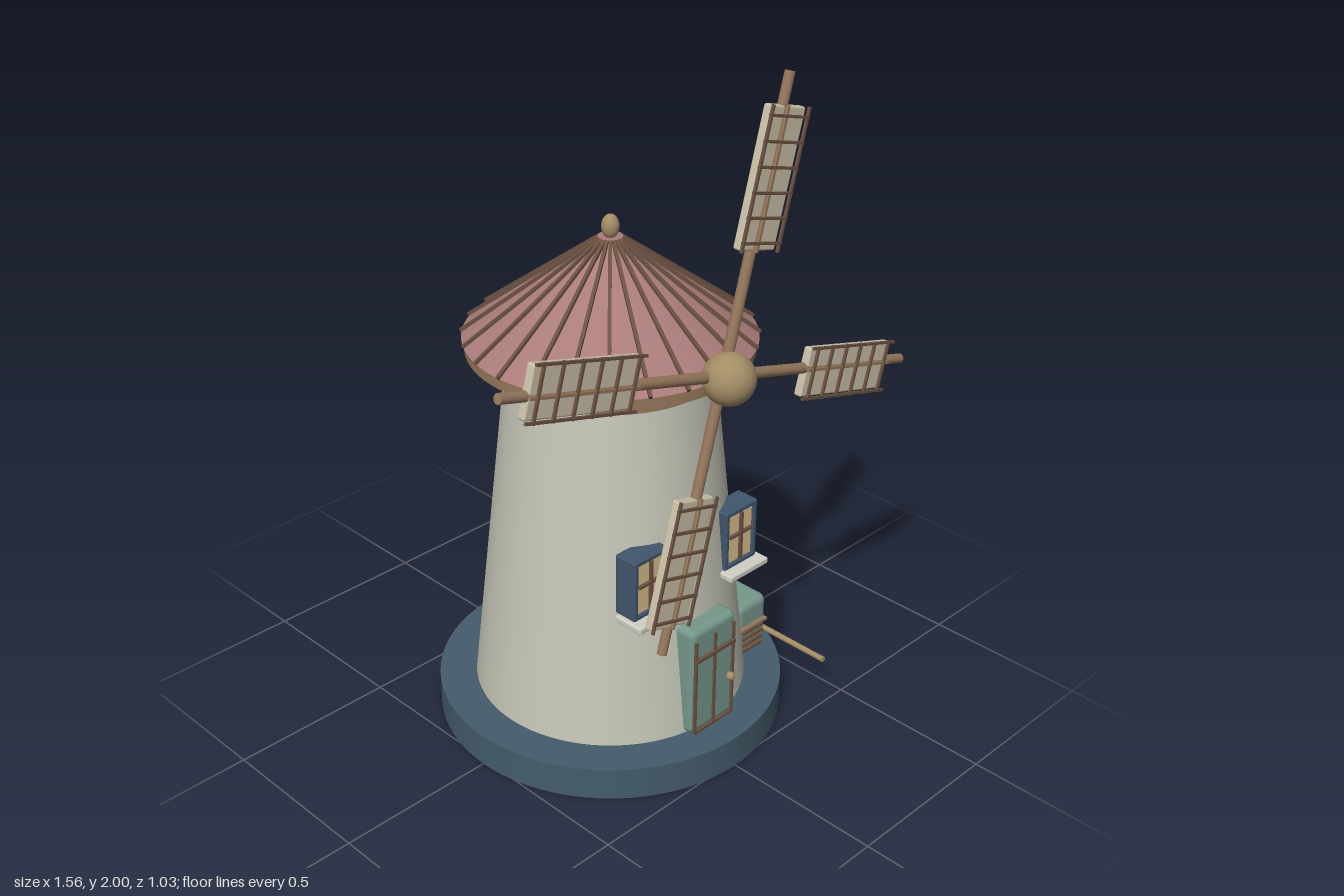
import * as THREE from 'three';
import { RoundedBoxGeometry } from 'three/addons/geometries/RoundedBoxGeometry.js';

const mat = (color) => new THREE.MeshStandardMaterial({ color });
const slate = mat(0x455c6c), plaster = mat(0xc6c7b8), tile = mat(0xaa7c7a), wood = mat(0x96775c);
const darkWood = mat(0x6b5142), brass = mat(0xa38d66), teal = mat(0x76988b), cloth = mat(0xcbc1a8);
const blue = mat(0x40566d), pane = mat(0xdcc08c), stone = mat(0xd0d0c6);

function add(parent, name, geometry, material, x = 0, y = 0, z = 0) {
  const mesh = new THREE.Mesh(geometry, material);
  mesh.name = name;
  mesh.position.set(x, y, z);
  parent.add(mesh);
  return mesh;
}
function group(parent, name, x = 0, y = 0, z = 0) {
  const g = new THREE.Group();
  g.name = name;
  g.position.set(x, y, z);
  parent.add(g);
  return g;
}
const box = (w, h, d) => new THREE.BoxGeometry(w, h, d);
const round = (w, h, d, r) => new RoundedBoxGeometry(w, h, d, 3, r);
const drum = (top, bottom, h, n = 64) => new THREE.CylinderGeometry(top, bottom, h, n);
const ball = (r) => new THREE.SphereGeometry(r, 32, 20);

// Rod between two points
function rod(parent, name, a, b, r, material) {
  const from = new THREE.Vector3(...a), to = new THREE.Vector3(...b);
  const dir = to.clone().sub(from);
  const m = add(parent, name, drum(r, r, dir.length(), 12), material);
  m.position.copy(from).add(to).multiplyScalar(0.5);
  m.quaternion.setFromUnitVectors(new THREE.Vector3(0, 1, 0), dir.normalize());
  return m;
}

function buildRoof(parent) {
  const roof = group(parent, 'roof');
  add(roof, 'eave', drum(0.405, 0.405, 0.036), wood, 0, 1.193);
  add(roof, 'roofCone', drum(0.03, 0.412, 0.28), tile, 0, 1.351);
  // Radial battens lying on the cone
  const run = 0.382, rise = 0.28;
  for (let i = 0; i < 24; i++) {
    const spoke = group(roof, 'batten');
    spoke.rotation.y = (i / 24) * Math.PI * 2;
    const b = add(spoke, 'battenStrip', box(0.01, 0.012, Math.hypot(run, rise)), darkWood, 0, 1.353, 0.223);
    b.rotation.x = Math.atan2(rise, run);
  }
  add(roof, 'roofCollar', drum(0.035, 0.045, 0.02, 32), tile, 0, 1.487);
  add(roof, 'finial', ball(0.025), brass, 0, 1.525).scale.y = 1.4;
}

// One arm pointing up, with its sail and lattice
function buildSail(parent, angle) {
  const sail = group(parent, 'sailArm');
  sail.rotation.z = angle;
  add(sail, 'spar', drum(0.014, 0.016, 0.805, 16), wood, 0, 0.4025);
  const u0 = 0.34, u1 = 0.722, mid = (u0 + u1) / 2, v = 0.011;
  add(sail, 'sailCloth', round(0.142, u1 - u0 - 0.005, 0.026, 0.006), cloth, v, mid, 0);
  for (const s of [-1, 1])
    add(sail, 'latticeRail', box(0.007, u1 - u0, 0.008), darkWood, v + s * 0.073, mid, 0.021);
  add(sail, 'latticeCentre', box(0.008, u1 - u0, 0.008), wood, 0, mid, 0.019);
  for (let i = 0; i < 6; i++)
    add(sail, 'latticeBar', box(0.156, 0.007, 0.008), darkWood, v, u0 + 0.025 + i * 0.066, 0.021);
}

function buildWindow(parent, side) {
  const win = group(parent, side > 0 ? 'leftWindow' : 'rightWindow', side * 0.183, 0.625, 0.31);
  const w = 0.132, h = 0.19, t = 0.017;
  add(win, 'windowBack', box(w - 0.01, h - 0.01, 0.05), blue, 0, 0, -0.005);
  for (const s of [-1, 1]) {
    add(win, 'frameSide', round(t, h, 0.075, 0.006), blue, s * (w - t) / 2, 0, 0);
    add(win, 'frameRail', round(w, t, 0.075, 0.006), blue, 0, s * (h - t) / 2, 0);
  }
  add(win, 'glass', box(w - 2 * t, h - 2 * t, 0.012), pane, 0, 0, 0.024);
  add(win, 'mullion', box(0.008, h - 2 * t, 0.012), darkWood, 0, 0, 0.034);
  add(win, 'transom', box(w - 2 * t, 0.008, 0.012), darkWood, 0, 0.01, 0.034);
  add(win, 'sill', round(0.16, 0.02, 0.1, 0.005), stone, 0, -0.102, 0.024);
}

function buildDoor(parent) {
  const door = group(parent, 'door', 0, 0.1, 0);
  add(door, 'doorSlab', round(0.182, 0.35, 0.09, 0.02), teal, 0, 0.175, 0.375);
  for (const x of [-0.077, 0, 0.077])
    add(door, 'doorStrip', box(0.007, 0.315, 0.01), darkWood, x, 0.16, 0.422);
  add(door, 'doorRail', box(0.16, 0.01, 0.014), darkWood, 0, 0.255, 0.424);
  add(door, 'doorFoot', box(0.16, 0.008, 0.01), darkWood, 0, 0.006, 0.422);
  add(door, 'doorKnob', ball(0.013), brass, 0.055, 0.147, 0.437);
}

// Small cabinet with vent slats and a bent pipe
function buildCabinet(parent) {
  const cab = group(parent, 'cabinet');
  add(cab, 'cabinetBody', round(0.13, 0.175, 0.145, 0.025), teal, 0.358, 0.187, 0.183);
  for (let i = 0; i < 4; i++)
    add(cab, 'ventSlat', box(0.09, 0.008, 0.014), darkWood, 0.35, 0.116 + i * 0.022, 0.259);
  add(cab, 'ventShelf', box(0.115, 0.009, 0.018), wood, 0.352, 0.195, 0.26);
  const bend = [0.46, 0.11, 0.18];
  rod(cab, 'pipe', [0.4, 0.17, 0.18], bend, 0.009, brass);
  rod(cab, 'pipe', bend, [0.46, 0.11, 0.455], 0.009, brass);
  add(cab, 'pipeElbow', ball(0.01), brass, ...bend);
}

export function createModel() {
  const model = new THREE.Group();
  model.name = 'windmill';

  // Base and tapering tower
  add(model, 'base', drum(0.515, 0.515, 0.1, 96), slate, 0, 0.05);
  add(model, 'tower', drum(0.288, 0.405, 1.08, 96), plaster, 0, 0.64);
  add(model, 'towerBand', drum(0.32, 0.32, 0.025), wood, 0, 1.132);
  buildRoof(model);

  // Hub and four sails
  add(model, 'hub', ball(0.073), brass, 0, 1.225, 0.442);
  rod(model, 'axle', [0, 1.225, 0.1], [0, 1.225, 0.44], 0.025, wood);
  const sails = group(model, 'sails', 0, 1.225, 0.42);
  for (let i = 0; i < 4; i++) buildSail(sails, -THREE.MathUtils.degToRad(15.5) + i * Math.PI / 2);

  for (const side of [-1, 1]) buildWindow(model, side);
  buildDoor(model);
  buildCabinet(model);
  return model;
}
